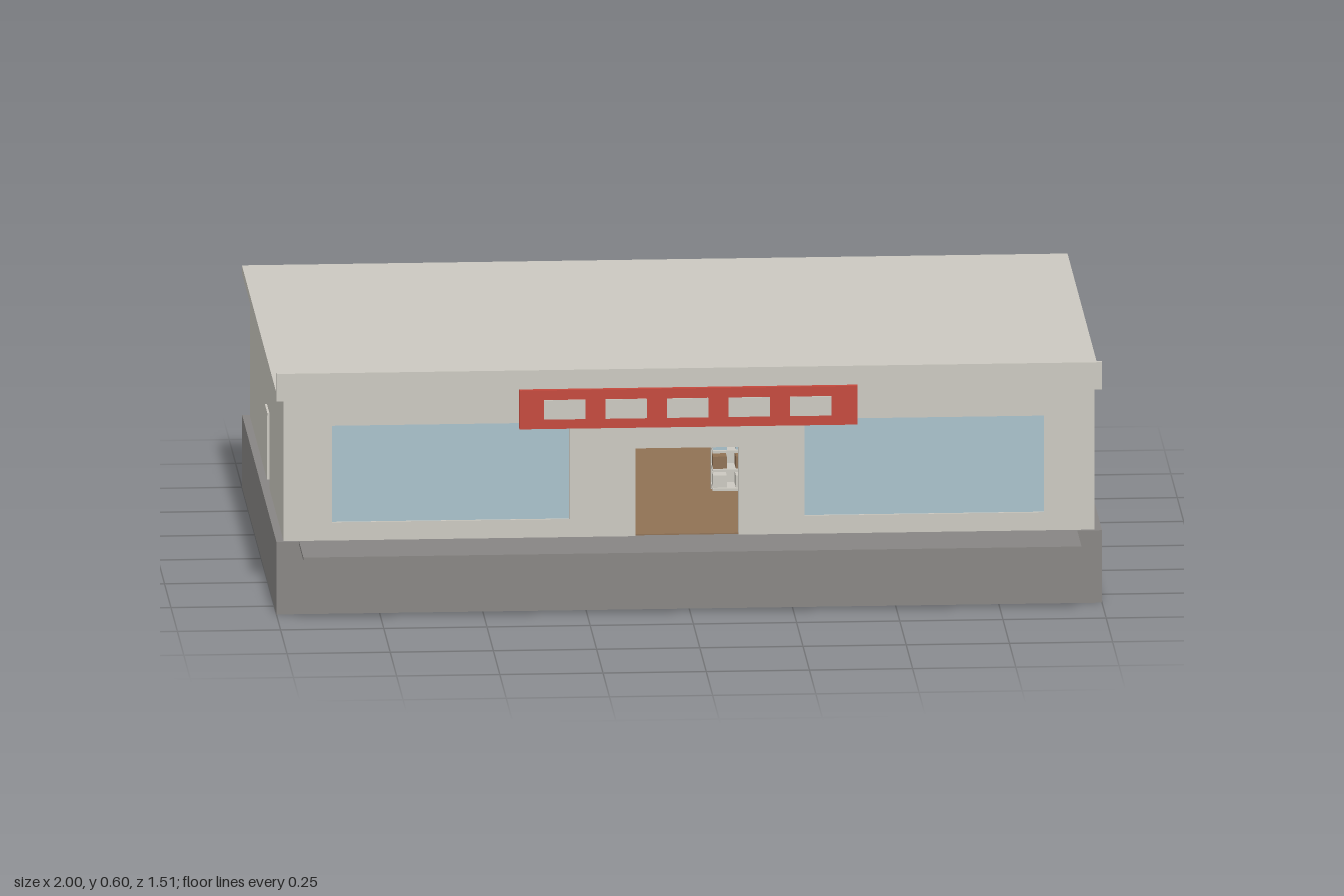
import * as THREE from 'three';

const paint = (name, color) => {
  const m = new THREE.MeshStandardMaterial({ color });
  m.name = name;
  return m;
};

export function createModel() {
  const model = new THREE.Group();
  model.name = 'shopBuilding';
  const wall = paint('warm grey plaster', 0xcbc8c0);
  const stone = paint('dark grey concrete', 0x878583);
  const red = paint('sign red', 0xc4473b);
  const glass = paint('window blue', 0xa9c1cb);
  const wood = paint('brown wood', 0x8f7154);

  // Box given by its minimum and maximum on each axis
  const box = (name, mat, x0, x1, y0, y1, z0, z1, parent = model) => {
    const mesh = new THREE.Mesh(new THREE.BoxGeometry(x1 - x0, y1 - y0, z1 - z0), mat);
    mesh.name = name;
    mesh.position.set((x0 + x1) / 2, (y0 + y1) / 2, (z0 + z1) / 2);
    parent.add(mesh);
    return mesh;
  };

  // Upright wall from u0 to u1 with rectangular openings [u0, u1, y0, y1]
  const T = 0.025;
  const pierced = (name, u0, u1, openings) => {
    const rect = (Type, a, b, c, d) => {
      const p = new Type();
      p.moveTo(a, c); p.lineTo(b, c); p.lineTo(b, d); p.lineTo(a, d); p.closePath();
      return p;
    };
    const shape = rect(THREE.Shape, u0, u1, 0.17, 0.535);
    openings.forEach((o) => shape.holes.push(rect(THREE.Path, ...o)));
    const mesh = new THREE.Mesh(
      new THREE.ExtrudeGeometry(shape, { depth: T, bevelEnabled: false }), wall);
    mesh.name = name;
    model.add(mesh);
    return mesh;
  };

  // Plinth and front step
  box('plinth', stone, -1, 1, 0, 0.18, -0.747, 0.588);
  box('frontStep', stone, -0.945, 0.94, 0.172, 0.18, 0.58, 0.755);

  // Outer walls
  const windows = [[-0.865, -0.29, 0.225, 0.465], [0.28, 0.86, 0.225, 0.465]];
  pierced('frontWall', -0.982, 0.982, [...windows, [-0.13, 0.12, 0.178, 0.398]])
    .position.z = 0.58 - T;
  pierced('backWall', -0.982, 0.982, [[0.525, 0.78, 0.178, 0.435]]).position.z = -0.733;
  const side = pierced('rightWall', -0.709, 0.556, [[-0.07, 0.025, 0.178, 0.365]]);
  side.rotation.y = -Math.PI / 2;
  side.position.x = -0.982 + T;
  box('leftWall', wall, 0.982 - T, 0.982, 0.17, 0.535, -0.709, 0.556);

  // Window panes, set a little behind the wall face
  windows.forEach(([a, b, c, d]) => box('windowPane', glass, a, b, c, d, 0.566, 0.574));

  // Slim lintels over the side and back openings
  box('backLintel', wall, 0.525, 0.78, 0.43, 0.437, -0.738, -0.732);
  box('sideLintel', wall, -0.987, -0.981, 0.36, 0.367, -0.07, 0.025);

  // Floor and partition of the back room
  box('floor', wood, -0.957, 0.957, 0.175, 0.183, -0.727, 0.572);
  box('partition', wall, -0.957, 0.957, 0.18, 0.535, -0.41, -0.39);

  // Shop shelving with a few goods on each tier
  const shelfUnit = (name, x0, x1, z0, z1) => {
    const unit = new THREE.Group();
    unit.name = name;
    const goods = [wall, wood, glass];
    goods.forEach((mat, i) => {
      const y = 0.2 + i * 0.047;
      box('shelfBoard', wall, x0, x1, y - 0.006, y, z0, z1, unit);
      for (let x = x0 + 0.002; x + 0.035 <= x1; x += 0.055) {
        box('goods', mat, x, x + 0.033, y, y + 0.03, z0 + 0.02, z1 - 0.01, unit);
      }
    });
    box('shelfBack', wall, x0, x1, 0.18, 0.34, z0, z0 + 0.01, unit);
    model.add(unit);
  };
  shelfUnit('leftShelf', 0.082, 0.6, 0.1, 0.18);
  shelfUnit('rightShelf', -0.6, -0.2, 0.1, 0.18);

  // Roof slab and front parapet
  box('roof', wall, -1, 1, 0.53, 0.55, -0.755, 0.578);
  box('parapet', wall, -1, 1, 0.53, 0.598, 0.576, 0.59);

  // Sign board with five blank panels
  box('signBoard', red, -0.412, 0.407, 0.455, 0.551, 0.59, 0.604);
  for (let i = 0; i < 5; i++) {
    const x = -0.303 + i * 0.149;
    box('signPanel', wall, x - 0.05, x + 0.05, 0.479, 0.527, 0.602, 0.607);
  }
  return model;
}
